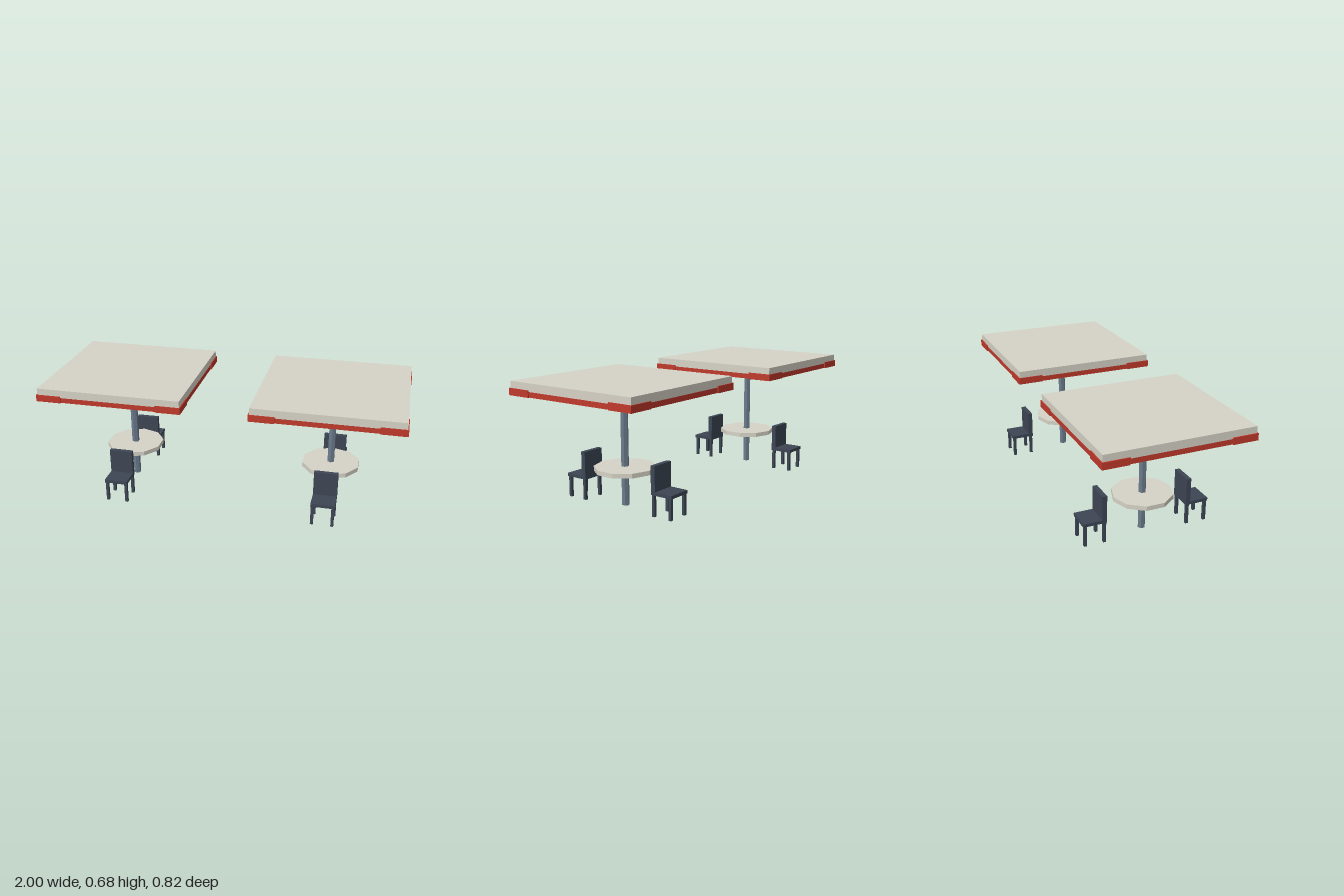
import * as THREE from 'three';

const material = (color) => new THREE.MeshStandardMaterial({ color, flatShading: true });

export function createModel() {
  const cream = material(0xd6d2c6);
  const red = material(0xc0392b);
  const steel = material(0x6b7b8c);
  const dark = material(0x3d4654);

  function add(parent, name, geometry, mat, x, y, z) {
    const mesh = new THREE.Mesh(geometry, mat);
    mesh.name = name;
    mesh.position.set(x, y, z);
    parent.add(mesh);
    return mesh;
  }
  // box between a bottom and a top height
  const box = (parent, name, mat, w, y0, y1, d, x, z) =>
    add(parent, name, new THREE.BoxGeometry(w, y1 - y0, d), mat, x, (y0 + y1) / 2, z);

  // chair at +z, facing away from the table
  function createChair() {
    const chair = new THREE.Group();
    chair.name = 'chair';
    box(chair, 'seat', dark, 0.132, 0.115, 0.133, 0.132, 0, 0.296);
    box(chair, 'backrest', dark, 0.132, 0.133, 0.269, 0.026, 0, 0.243);
    for (const x of [-0.056, 0.056])
      for (const z of [0.242, 0.349])
        box(chair, 'chairLeg', dark, 0.016, 0, 0.115, 0.016, x, z);
    return chair;
  }

  // canopy: slab, square rim below with a recess, raised corner guards
  function createCanopy() {
    const canopy = new THREE.Group();
    canopy.name = 'canopy';
    box(canopy, 'roofSlab', cream, 0.806, 0.638, 0.682, 0.806, 0, 0);

    const square = (path, h) =>
      path.moveTo(-h, -h).lineTo(h, -h).lineTo(h, h).lineTo(-h, h).closePath();
    const rim = square(new THREE.Shape(), 0.403);
    rim.holes.push(square(new THREE.Path(), 0.268));
    const rimGeometry = new THREE.ExtrudeGeometry(rim, { depth: 0.028, bevelEnabled: false });
    rimGeometry.rotateX(-Math.PI / 2);
    add(canopy, 'roofRim', rimGeometry, red, 0, 0.61, 0);

    for (const sx of [-1, 1])
      for (const sz of [-1, 1])
        box(canopy, 'cornerGuard', red, 0.14, 0.609, 0.646, 0.14, sx * 0.339, sz * 0.339);
    return canopy;
  }

  function createTableSet(x) {
    const set = new THREE.Group();
    set.name = 'tableSet';
    set.position.x = x;
    add(set, 'post', new THREE.CylinderGeometry(0.021, 0.021, 0.635, 6), steel, 0, 0.3205, 0);
    add(set, 'tabletop', new THREE.CylinderGeometry(0.166, 0.166, 0.025, 10), cream, 0, 0.204, 0);
    set.add(createCanopy());
    const frontChair = createChair();
    const backChair = createChair();
    backChair.rotation.y = Math.PI;
    set.add(frontChair, backChair);
    return set;
  }

  const model = new THREE.Group();
  model.name = 'canopyTables';
  model.add(createTableSet(-0.591), createTableSet(0.591));
  return model;
}
